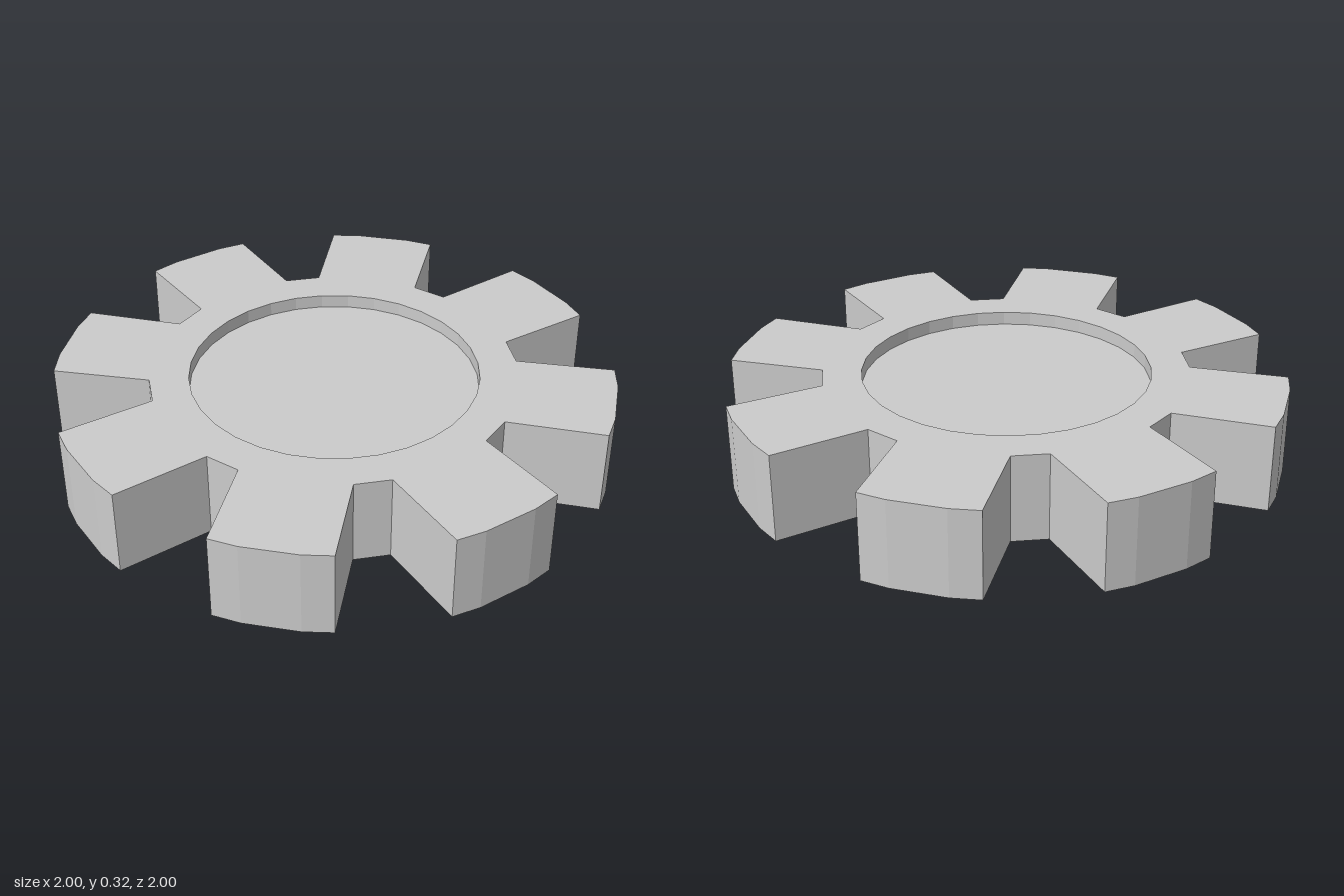
import * as THREE from 'three';

const HEIGHT = 0.32, RECESS_DEPTH = 0.05, RECESS_RADIUS = 0.52;
const TEETH = 8, SEGMENTS = 32;

// one tooth as [radius, angle in degrees]: root, tip arc, root
const TOOTH = [[0.66, 0], [1.004, 5.2], [1.005, 11.25], [1.005, 22.5], [1.004, 28.4], [0.66, 33.75]];

const polar = (r, deg) => {
  const a = THREE.MathUtils.degToRad(deg);
  return new THREE.Vector2(r * Math.cos(a), r * Math.sin(a));
};

export function createModel() {
  const group = new THREE.Group();
  group.name = 'gear';
  const material = new THREE.MeshStandardMaterial({ color: 0xcccccc, flatShading: true });

  // toothed outline with a round opening
  const outline = [];
  for (let i = 0; i < TEETH; i++) {
    for (const [r, deg] of TOOTH) outline.push(polar(r, deg + (i * 360) / TEETH));
  }
  const shape = new THREE.Shape(outline);
  const circle = [];
  for (let i = 0; i < SEGMENTS; i++) circle.push(polar(RECESS_RADIUS, (-i * 360) / SEGMENTS));
  shape.holes.push(new THREE.Path(circle));

  const ringGeometry = new THREE.ExtrudeGeometry(shape, { depth: HEIGHT, bevelEnabled: false });
  ringGeometry.rotateX(Math.PI / 2).translate(0, HEIGHT, 0);
  const ring = new THREE.Mesh(ringGeometry, material);
  ring.name = 'toothedRing';
  group.add(ring);

  // solid centre, its top set below the ring to form the shallow recess
  const floorHeight = HEIGHT - RECESS_DEPTH;
  const centre = new THREE.Mesh(
    new THREE.CylinderGeometry(RECESS_RADIUS, RECESS_RADIUS, floorHeight, SEGMENTS), material);
  centre.position.y = floorHeight / 2;
  centre.name = 'recessedCentre';
  group.add(centre);

  return group;
}
